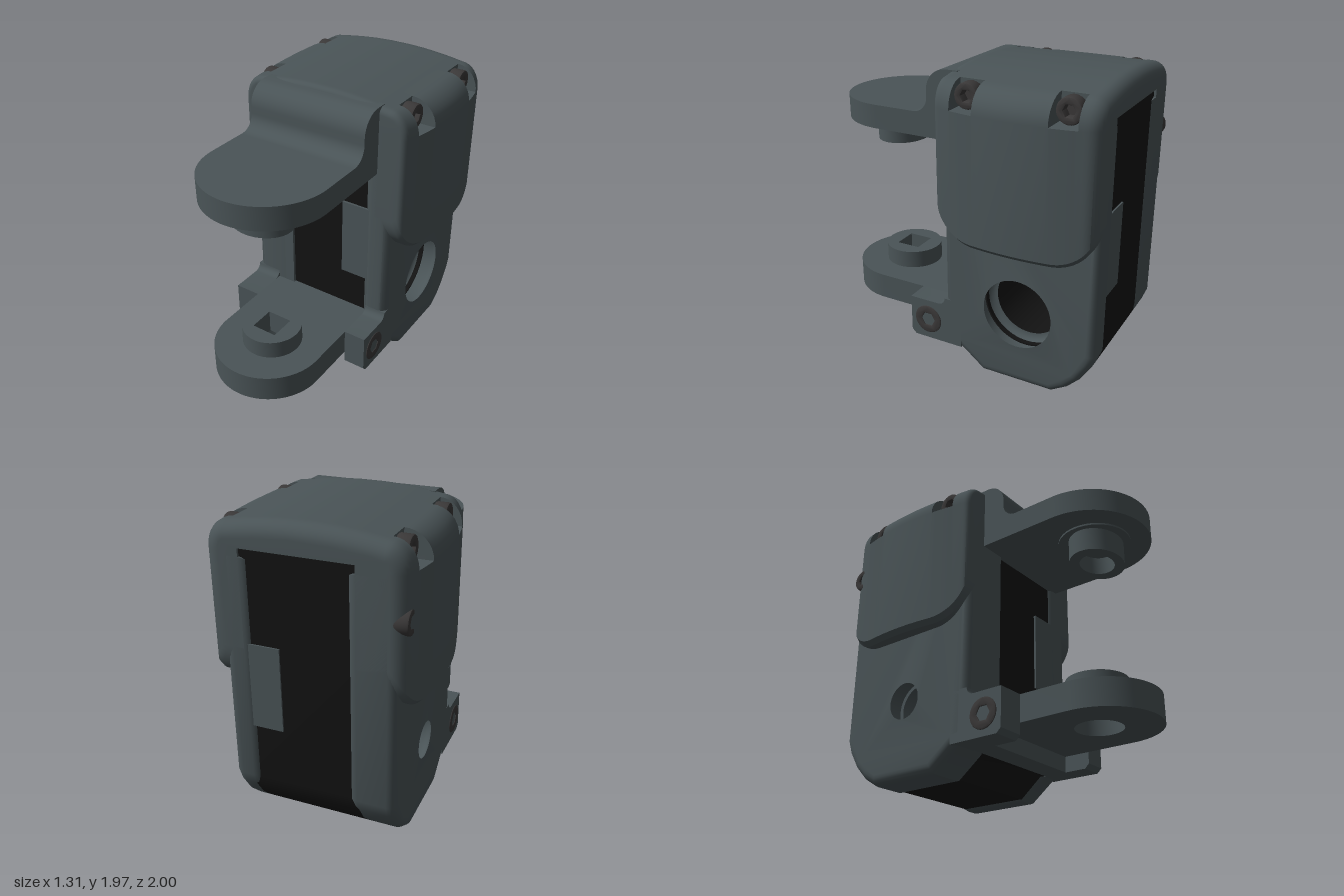
import * as THREE from 'three';
import { toCreasedNormals } from 'three/addons/utils/BufferGeometryUtils.js';

const mat = (color) => new THREE.MeshStandardMaterial({ color, side: THREE.DoubleSide });

export function createModel() {
  const root = new THREE.Group();
  const shell = mat(0x4a5457), black = mat(0x131313), steel = mat(0x3a3838);

  const add = (name, geometry, material = shell, parent = root) => {
    const mesh = new THREE.Mesh(toCreasedNormals(geometry, 0.6), material);
    mesh.name = name;
    parent.add(mesh);
    return mesh;
  };
  const box = (name, x0, x1, y0, y1, z0, z1, m) => add(name,
    new THREE.BoxGeometry(x1 - x0, y1 - y0, z1 - z0).translate((x0 + x1) / 2, (y0 + y1) / 2, (z0 + z1) / 2), m);
  const circle = (x, y, r) => new THREE.Path().absarc(x, y, r, 0, Math.PI * 2, true);

  // side profile of [z, y] points, extruded across x from x0 to x1
  const sideExtrude = (pts, x0, x1, { hole = 0, bevel = 0 } = {}) => {
    const shape = new THREE.Shape(pts.map(([z, y]) => new THREE.Vector2(-z, y)));
    if (hole) shape.holes.push(circle(0.48, 0.5, hole));
    return new THREE.ExtrudeGeometry(shape, {
      depth: x1 - x0 - 2 * bevel, curveSegments: 24, bevelEnabled: bevel > 0,
      bevelSize: bevel, bevelThickness: bevel, bevelOffset: -bevel, bevelSegments: 5,
    }).translate(0, 0, x0 + bevel).rotateY(Math.PI / 2);
  };
  // plan shape in (x, -z), extruded upward from y0 to y1
  const planExtrude = (shape, y0, y1) =>
    new THREE.ExtrudeGeometry(shape, { depth: y1 - y0, bevelEnabled: false, curveSegments: 32 })
      .rotateX(-Math.PI / 2).translate(0, y0, 0);
  const arc = (cz, cy, rz, ry, a0, a1, n = 8) => Array.from({ length: n + 1 }, (_, i) => {
    const a = a0 + (a1 - a0) * i / n;
    return [cz + rz * Math.cos(a), cy + ry * Math.sin(a)];
  });
  const PI = Math.PI;

  // side walls and dark core share one profile
  const profile = (top, front, back, base) => [
    [-0.23, base], [front - 0.09, 0.14], [front - 0.03, 0.15], [front, 0.19], [front, top], [back, top], [back, 0.33],
    [-0.97, 0.25], [-0.9, 0.14], [-0.82, 0.06], [-0.72, base]];
  add('leftWall', sideExtrude(profile(1.75, 0.04, -1, 0), 0.32, 0.51, { hole: 0.29, bevel: 0.06 }));
  add('rightWall', sideExtrude(profile(1.75, 0.04, -1, 0), -0.55, -0.25, { hole: 0.18, bevel: 0.06 }));
  add('core', sideExtrude(profile(1.8, 0.02, -0.985, 0.012), -0.31, 0.38, { hole: 0.28 }), black);
  box('frontPost', -0.31, -0.24, 0.2, 1.6, -0.06, 0.04);
  box('frontTab', 0.16, 0.4, 0.69, 1.23, -0.15, 0.035);
  box('backTab', 0.16, 0.4, 0.69, 1.23, -0.995, -0.82);

  // stepped ring in the bore of the right wall
  add('boreRing', new THREE.LatheGeometry(
    [[0.155, 0], [0.2, 0], [0.2, 0.05], [0.155, 0.05], [0.155, 0]].map((p) => new THREE.Vector2(...p)), 40)
    .rotateZ(PI / 2).translate(-0.35, 0.5, -0.48));

  // cover: inverted U section swept from front to back, with screw pockets at the shoulders
  const drop = (d, r) => (d >= r ? 0 : r - Math.sqrt(Math.max(0, r * r - (r - d) ** 2)));
  const ends = (z, rf, rb) => drop(0.04 - z, rf) + drop(z + 1, rb);
  const pockets = [-0.16, -0.79];
  const inner = 0.47, low = 1.77;
  const section = (z, pocket) => {
    const w = 0.653 - 0.07 * ((z + 0.48) / 0.52) ** 2 - ends(z, 0.03, 0.08);
    const b = 0.94 + ends(z, 0.26, 0.26);
    const topY = (x) => 1.975 - 0.055 * (x / 0.55) ** 2 - ends(z, 0.04, 0.09);
    const h = topY(inner) - low, half = [[w - 0.03, b], [w, b + 0.03]];
    for (let k = 0; k <= 8; k++) {
      const a = k / 8 * PI / 2;
      if (!pocket) half.push([inner + (w - inner) * Math.cos(a), low + h * Math.sin(a)]);
      else if (k <= 4) half.push([w + (inner - w) * k / 4, low]);
      else half.push([inner, low + h * (k - 4) / 4]);
    }
    for (const x of [0.38, 0.28, 0.18, 0.08]) half.push([x, topY(x)]);
    const mirrored = half.map(([x, y]) => [-x, y]).reverse();
    return [...half, ...mirrored, [-0.31, b], [-0.31, 1.8], [0.38, 1.8], [0.38, b]];
  };
  const stations = [];
  for (let i = 0; i <= 40; i++) {
    const z = -0.48 + 0.52 * Math.cos(i / 40 * PI);
    stations.push([z, pockets.some((p) => Math.abs(z - p) < 0.08)]);
  }
  for (const p of pockets) for (const s of [-1, 1]) {
    stations.push([p + s * 0.081, false], [p + s * 0.08, true]);
  }
  stations.sort((a, b) => b[0] - a[0]);
  const rings = stations.map(([z, p]) => section(z, p));
  const n = rings[0].length, pos = [], idx = [];
  rings.forEach((ring, j) => ring.forEach(([x, y]) => pos.push(x, y, stations[j][0])));
  for (let j = 0; j < rings.length - 1; j++) for (let i = 0; i < n; i++) {
    const a = j * n + i, b = j * n + (i + 1) % n;
    idx.push(a, a + n, b, b, a + n, b + n);
  }
  const cap = (j, flip) => THREE.ShapeUtils.triangulateShape(rings[j].map((p) => new THREE.Vector2(...p)), [])
    .forEach(([a, b, c]) => idx.push(j * n + a, j * n + (flip ? c : b), j * n + (flip ? b : c)));
  cap(0, false);
  cap(rings.length - 1, true);
  const coverGeo = new THREE.BufferGeometry();
  coverGeo.setAttribute('position', new THREE.Float32BufferAttribute(pos, 3));
  coverGeo.setIndex(idx);
  add('cover', coverGeo);

  // arms: straight plate with a round end
  const arm = (name, cx, hw, z0, zc, y0, y1, hole) => {
    const s = new THREE.Shape();
    s.moveTo(cx - hw, -z0);
    s.lineTo(cx - hw, -zc);
    s.absarc(cx, -zc, hw, PI, 2 * PI, false);
    s.lineTo(cx + hw, -z0);
    if (hole) s.holes.push(circle(cx, -0.61, hole));
    add(name, planExtrude(s, y0, y1));
  };
  arm('upperArm', -0.005, 0.413, 0.2, 0.587, 1.51, 1.665, 0);
  arm('lowerArm', -0.005, 0.365, 0, 0.635, 0.245, 0.42, 0.15);
  add('armNeck', sideExtrude([[-0.02, 1.51], [0.31, 1.51], [0.31, 1.665],
    ...arc(0.3, 1.765, 0.1, 0.1, -PI / 2, -PI),
    ...arc(0.06, 1.81, 0.14, 0.14, 0, PI / 2), [-0.02, 1.95]], -0.418, 0.408));

  // lower boss with square socket
  const boss = new THREE.Shape().absarc(-0.005, -0.61, 0.195, 0, PI * 2, false);
  boss.holes.push(new THREE.Path([[-1, -1], [-1, 1], [1, 1], [1, -1]]
    .map(([u, v]) => new THREE.Vector2(-0.005 + u * 0.085, -0.61 + v * 0.085))));
  add('lowerBoss', planExtrude(boss, 0.38, 0.54));

  // upper boss: hollow oval sleeve on a thin washer
  add('upperBoss', new THREE.LatheGeometry(
    [[0, 0.12], [0.13, 0.12], [0.13, 0], [0.205, 0], [0.205, 0.17]].map((p) => new THREE.Vector2(...p)), 40)
    .scale(1, 1, 0.82).translate(-0.005, 1.345, 0.65));
  add('upperWasher', new THREE.CylinderGeometry(0.235, 0.235, 0.02, 40).translate(-0.01, 1.508, 0.64));

  // clamp lugs and the bridge beneath the lower arm
  const lug = [[-0.08, 0.14], [0.27, 0.14], [0.3, 0.17], [0.3, 0.42],
    ...arc(0.09, 0.47, 0.05, 0.05, -PI / 2, -PI, 5), [-0.08, 0.47]];
  add('leftLug', sideExtrude(lug, 0.36, 0.51));
  add('rightLug', sideExtrude(lug, -0.55, -0.37));
  box('bridge', -0.37, 0.36, 0.14, 0.25, -0.04, 0.12);

  // socket screws, head facing along +x or -x
  const screw = (name, x, y, z, r, side, length = 0.08) => {
    const g = new THREE.Group();
    g.name = name;
    const head = new THREE.Shape().absarc(0, 0, r, 0, PI * 2, false);
    head.holes.push(new THREE.Path(Array.from({ length: 6 }, (_, i) =>
      new THREE.Vector2(Math.cos(-i * PI / 3), Math.sin(-i * PI / 3)).multiplyScalar(r * 0.48))));
    const b = 0.012;
    add('screwHead', new THREE.ExtrudeGeometry(head, {
      depth: length - 2 * b, curveSegments: 20, bevelSize: b, bevelThickness: b, bevelOffset: -b, bevelSegments: 2,
    }).translate(0, 0, b - length), steel, g);
    add('socketFloor', new THREE.CylinderGeometry(r * 0.7, r * 0.7, 0.02, 20)
      .rotateX(PI / 2).translate(0, 0, 0.02 - length), steel, g);
    g.rotation.y = side * PI / 2;
    g.position.set(x, y, z);
    root.add(g);
  };
  for (const s of [-1, 1]) {
    for (const z of pockets) screw('coverScrew', s * 0.555, 1.85, z, 0.079, s, 0.09);
    screw('clampScrew', s > 0 ? 0.518 : -0.558, 0.28, 0.17, 0.1, s);
  }
  screw('sideScrew', -0.605, 1.5, -0.92, 0.078, -1, 0.1);

  return root;
}
